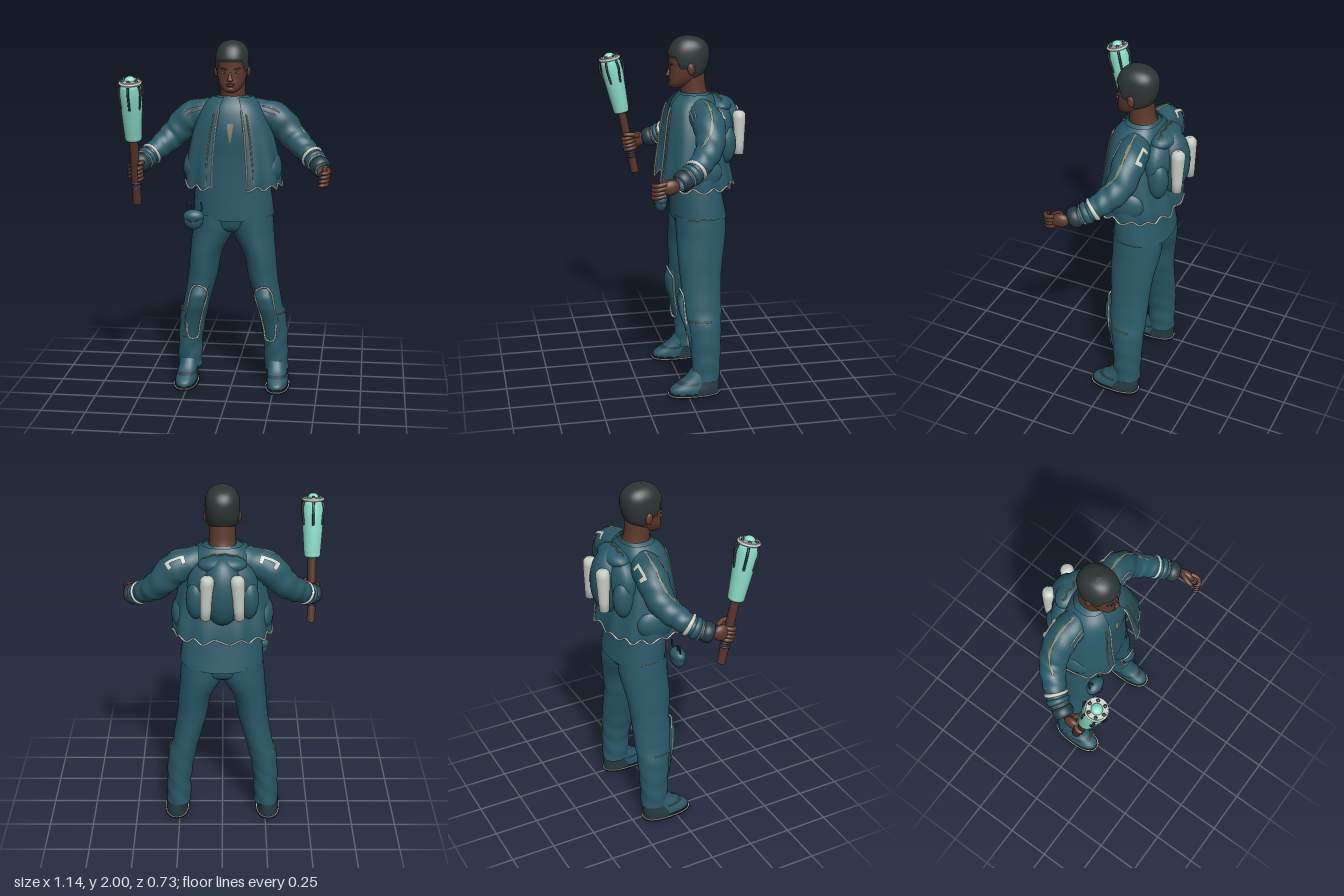
import * as THREE from 'three';
import { mergeVertices } from 'three/addons/utils/BufferGeometryUtils.js';

const TAU = Math.PI * 2;
const colour = (name, hex, side = THREE.FrontSide) => {
  const m = new THREE.MeshStandardMaterial({ color: hex, side });
  m.name = name;
  return m;
};
const V = (x, y, z) => new THREE.Vector3(x, y, z);

// Smooth interpolation of table columns over column 0
function keyed(rows) {
  const n = rows.length;
  const slope = (k, c) => {
    const a = rows[Math.max(k - 1, 0)], b = rows[Math.min(k + 1, n - 1)];
    return (b[c] - a[c]) / (b[0] - a[0]);
  };
  return (x, c) => {
    let i = 0;
    while (i < n - 2 && x > rows[i + 1][0]) i++;
    const a = rows[i], b = rows[i + 1], h = b[0] - a[0];
    const t = Math.min(Math.max((x - a[0]) / h, 0), 1), t2 = t * t, t3 = t2 * t;
    return a[c] * (2 * t3 - 3 * t2 + 1) + b[c] * (3 * t2 - 2 * t3)
      + h * (slope(i, c) * (t3 - 2 * t2 + t) + slope(i + 1, c) * (t3 - t2));
  };
}

// Upright body from rows [y, centreX, halfWidth, zFront, zBack]; angle 0 faces front
function upright(rows, p = 1) {
  const k = keyed(rows), pw = q => Math.sign(q) * Math.abs(q) ** p;
  return (y, a, off = 0) => {
    const f = k(y, 3), b = k(y, 4);
    return V(k(y, 1) + (k(y, 2) + off) * pw(Math.sin(a)), y, (f + b) / 2 + ((f - b) / 2 + off) * pw(Math.cos(a)));
  };
}

// Limb along a curve with a radius at each point; angle 0 faces the "up" vector
function limb(points, radii, up = V(0, 1, 0)) {
  const curve = new THREE.CatmullRomCurve3(points);
  const k = keyed(radii.map((r, i) => [i / (radii.length - 1), r]));
  return (v, a, off = 0) => {
    const T = curve.getTangent(v);
    const N = up.clone().addScaledVector(T, -up.dot(T)).normalize();
    const B = T.clone().cross(N), r = k(v, 1) + off;
    return curve.getPoint(v).addScaledVector(N, Math.cos(a) * r).addScaledVector(B, Math.sin(a) * r);
  };
}

export function createModel() {
  const root = new THREE.Group();
  root.name = 'explorer';
  const teal = colour('teal cloth', 0x295967, THREE.DoubleSide);
  const dark = colour('dark leather', 0x263a42, THREE.DoubleSide);
  const hairM = colour('hair', 0x2c3534, THREE.DoubleSide);
  const skin = colour('skin', 0x5e382b);
  const wood = colour('brown wood', 0x56342a);
  const mint = colour('mint glass', 0x8adcc8);
  const pale = colour('pale trim', 0xc6cbc3, THREE.DoubleSide);
  const khaki = colour('khaki trim', 0x85836a, THREE.DoubleSide);
  const black = colour('black rubber', 0x1a2124);

  const add = (name, geo, mat, pos = [0, 0, 0], scale = [1, 1, 1], rot = [0, 0, 0], parent = root) => {
    const m = new THREE.Mesh(geo, mat);
    m.name = name;
    m.position.set(...pos); m.scale.set(...scale); m.rotation.set(...rot);
    parent.add(m);
    return m;
  };
  const ball = (name, mat, pos, scale, rot, parent) => add(name, new THREE.SphereGeometry(1, 24, 16), mat, pos, scale, rot, parent);
  // Part of a surface between two heights and two angles
  const patch = (name, mat, surf, v0, v1, a0, a1, off = 0, nu = 40, nv = 28, ease = t => t) => {
    const pos = [], idx = [], val = (f, a) => (typeof f === 'function' ? f(a) : f);
    for (let j = 0; j <= nv; j++) for (let i = 0; i <= nu; i++) {
      const u = i / nu, t = ease(j / nv), a = a0 + (a1 - a0) * u;
      const lo = val(v0, a), hi = val(v1, a);
      const o = typeof off === 'function' ? off(u, t) : off;
      pos.push(...surf(lo + (hi - lo) * t, a, o).toArray());
      if (i < nu && j < nv) {
        const q = j * (nu + 1) + i, r = q + nu + 1;
        idx.push(q, q + 1, r + 1, q, r + 1, r);
      }
    }
    let g = new THREE.BufferGeometry();
    g.setAttribute('position', new THREE.Float32BufferAttribute(pos, 3));
    g.setIndex(idx);
    g = mergeVertices(g, 1e-5);
    g.computeVertexNormals();
    return add(name, g, mat);
  };
  const trim = (name, mat, pts, r = 0.005, closed = false) =>
    add(name, new THREE.TubeGeometry(new THREE.CatmullRomCurve3(pts, closed), pts.length * 5, r, 6, closed), mat);
  const along = (n, f) => Array.from({ length: n + 1 }, (_, i) => f(i / n));

  // Head and neck
  const head = upright([[1.715, 0, 0.025, 0.04, -0.02], [1.73, 0, 0.048, 0.05, -0.05], [1.76, 0, 0.068, 0.052, -0.1],
    [1.8, 0, 0.08, 0.05, -0.14], [1.85, 0, 0.085, 0.05, -0.16], [1.9, 0, 0.086, 0.05, -0.166], [1.94, 0, 0.08, 0.036, -0.158],
    [1.97, 0, 0.062, 0.014, -0.135], [1.988, 0, 0.038, -0.015, -0.1], [1.999, 0, 0.001, -0.054, -0.056]], 0.92);
  const round = t => Math.sin(t * Math.PI / 2);
  patch('head', skin, head, 1.715, 1.98, -Math.PI, Math.PI, 0, 40, 40);
  ball('chin', skin, [0, 1.735, 0.02], [0.036, 0.024, 0.034]);
  const step = THREE.MathUtils.smoothstep;
  const hairline = a => 1.882 - 0.06 * step(Math.abs(a), 0.75, 1.1) - 0.062 * step(Math.abs(a), 1.6, 2);
  patch('hair', hairM, head, hairline, 1.999, -Math.PI, Math.PI, (u, t) => 0.007 * Math.min(1, t * 8, (1 - t) * 20), 64, 36, round);
  patch('neck', skin, limb([V(0, 1.62, -0.1), V(0, 1.7, -0.085), V(0, 1.79, -0.075)], [0.082, 0.071, 0.07], V(0, 0, 1)), 0, 1, 0, TAU);
  add('noseBridge', new THREE.ConeGeometry(0.014, 0.055, 12), skin, [0, 1.812, 0.05], [1, 1, 1], [-0.2, 0, 0]);
  ball('noseTip', skin, [0, 1.787, 0.056], [0.018, 0.011, 0.014]);
  ball('upperLip', wood, [0, 1.763, 0.047], [0.026, 0.005, 0.01]);
  ball('lowerLip', wood, [0, 1.754, 0.047], [0.023, 0.006, 0.01]);
  for (const s of [1, -1]) {
    ball('ear', skin, [s * 0.09, 1.825, -0.055], [0.012, 0.033, 0.02], [0.15, 0, 0]);
    ball('eye', pale, [s * 0.034, 1.826, 0.041], [0.012, 0.004, 0.005]);
    ball('iris', black, [s * 0.034, 1.826, 0.044], [0.006, 0.005, 0.004]);
    ball('eyebrow', hairM, [s * 0.036, 1.846, 0.043], [0.02, 0.0035, 0.006], [0, s * 0.3, s * 0.2]);
  }

  // Shirt and trouser seat
  const shirt = upright([[0.98, 0.005, 0.232, 0.045, -0.27], [1.05, 0.003, 0.228, 0.045, -0.255], [1.18, 0, 0.215, 0.045, -0.23],
    [1.35, 0, 0.195, 0.05, -0.2], [1.5, 0, 0.185, 0.06, -0.2], [1.62, 0, 0.15, 0.038, -0.19], [1.665, 0, 0.115, 0.01, -0.18],
    [1.69, 0, 0.076, -0.012, -0.165]], 0.88);
  const shirtHem = a => 1.003 - 0.012 * Math.cos(2 * a);
  patch('shirt', teal, shirt, shirtHem, 1.69, -Math.PI, Math.PI);
  for (const s of [1, -1]) trim('shirtHemTrim', khaki, along(12, t => shirt(shirtHem(0.9 + t), s * (0.9 + t), 0)), 0.0025);
  patch('chestArrow', khaki, shirt, a => 1.43 + Math.abs(a) * 1.5, 1.545, -0.07, 0.07, 0.004, 10, 6);
  const seat = upright([[0.9, 0, 0.02, -0.08, -0.15], [0.92, 0, 0.08, -0.01, -0.2], [0.95, 0, 0.17, 0.02, -0.235], [1.06, 0, 0.222, 0.04, -0.25]]);
  patch('trouserSeat', teal, seat, 0.9, 1.06, -Math.PI, Math.PI);

  // Open vest with scalloped hem and stitched edges
  const vest = upright([[1.16, 0.003, 0.268, 0.125, -0.3], [1.25, 0.003, 0.268, 0.118, -0.285], [1.35, 0, 0.255, 0.104, -0.26],
    [1.48, 0, 0.225, 0.087, -0.235], [1.58, 0, 0.19, 0.07, -0.22], [1.65, 0, 0.15, 0.04, -0.2], [1.685, 0, 0.11, 0, -0.18]], 0.85);
  const open = 0.3, hem = a => 1.19 + 0.012 * Math.sin(a * 15);
  const fold = (u, t) => 0.007 * Math.sin(u * 60) * (1 - t) ** 1.5;
  const vestAngle = u => open + (TAU - 2 * open) * u;
  patch('vest', teal, vest, hem, 1.685, vestAngle(0), vestAngle(1), fold, 120, 24);
  trim('vestHemTrim', pale, along(120, u => vest(hem(vestAngle(u)), vestAngle(u), fold(u, 0) + 0.002)), 0.005);
  for (const s of [1, -1]) {
    trim('vestFrontTrim', pale, along(12, t => vest(1.19 + 0.43 * t, s * open, 0.003)));
    trim('vestStitching', khaki, along(12, t => vest(1.2 + 0.4 * t, s * (open + 0.14), 0.003)), 0.004);
    ball('sidePouch', teal, [s * 0.222, 1.28, -0.08], [0.058, 0.095, 0.12]);
  }

  // Backpack with two bottles
  ball('backpackYoke', teal, [0, 1.49, -0.21], [0.19, 0.17, 0.09]);
  ball('backpackBag', teal, [0, 1.47, -0.25], [0.11, 0.19, 0.105]);
  ball('backpackRoll', teal, [0, 1.615, -0.22], [0.13, 0.05, 0.075]);
  trim('backpackTrim', khaki, along(24, t => {
    const x = 0.2 * t - 0.1;
    return V(x, 1.618 + 0.05 * Math.sqrt(1 - (x / 0.13) ** 2), -0.218 + 0.008 * Math.sin(t * 19));
  }), 0.004);
  const bottle = [[0, 0], [0.027, 0], [0.03, 0.06], [0.038, 0.2], [0.037, 0.225], [0.025, 0.24], [0, 0.243]].map(p => new THREE.Vector2(...p));
  for (const s of [1, -1]) {
    ball('backpackSidePocket', teal, [s * 0.14, 1.42, -0.235], [0.055, 0.11, 0.06]);
    add('bottle', new THREE.LatheGeometry(bottle, 24), pale, [s * 0.09, 1.345, -0.325], [1, 1, 1], [0, 0, s * 0.05]);
  }

  for (const s of [1, -1]) {
    // Arm, sleeve stripe and cuffs; side() mirrors an angle range
    const side = (a, b) => [Math.min(a * s, b * s), Math.max(a * s, b * s)];
    const arm = limb([V(s * 0.1, 1.592, -0.1), V(s * 0.24, 1.558, -0.118), V(s * 0.34, 1.455, -0.105), V(s * 0.415, 1.39, -0.045),
      V(s * 0.47, 1.345, 0.02), V(s * 0.513, 1.31, 0.1)], [0.08, 0.087, 0.076, 0.064, 0.053, 0.043]);
    patch('sleeve', teal, arm, 0, 0.96, 0, TAU, (u, t) => 0.0025 * Math.sin(t * 45 + 3 * Math.sin(u * TAU)), 32, 60);
    patch('sleeveStripe', khaki, arm, 0.04, 0.54, -0.08, 0.08, 0.005, 4, 40);
    for (const [v0, v1, a0, a1] of [[0.13, 0.155, -0.65, -1.15], [0.21, 0.235, -0.65, -1.15], [0.13, 0.235, -0.65, -0.85]])
      patch('shoulderBuckle', pale, arm, v0, v1, ...side(a0, a1), 0.012, 8, 8);
    for (const a of [0.9, 1.2])
      trim('chestFlapTrim', pale, along(8, t => arm(0.07 + 0.13 * t, s * (a + 0.12 * t), 0.003)), 0.004);
    const ring = (name, mat, a, b, o) => patch(name, mat, arm, a, b, 0, TAU, (u, t) => o * Math.sin(t * Math.PI) ** 0.5, 32, 8);
    ring('paleBand', pale, 0.7, 0.745, 0.009);
    ring('forearmBand', teal, 0.77, 0.84, 0.01);
    ring('thinBand', pale, 0.845, 0.86, 0.007);
    ring('cuff', dark, 0.88, 1, 0.012);

    // Leg with knee pad
    const leg = upright([[0.09, s * 0.255, 0.07, -0.03, -0.19], [0.15, s * 0.253, 0.07, -0.03, -0.19], [0.25, s * 0.25, 0.07, -0.025, -0.195],
      [0.39, s * 0.234, 0.077, -0.01, -0.2], [0.49, s * 0.209, 0.076, 0.01, -0.205], [0.65, s * 0.174, 0.085, 0.02, -0.21],
      [0.78, s * 0.155, 0.092, 0.03, -0.225], [0.9, s * 0.119, 0.117, 0.032, -0.245], [0.95, s * 0.109, 0.124, 0.034, -0.247], [1.02, s * 0.106, 0.12, 0.035, -0.245]]);
    patch('trouserLeg', teal, leg, 0.09, 1.02, -Math.PI, Math.PI, (u, t) => 0.0025 * Math.sin(t * 50 + 4 * Math.sin(u * TAU)) * (1 - t) ** 2, 40, 60);
    patch('kneePad', teal, leg, 0.28, 0.6, ...side(-0.68, 0.48),
      (u, t) => 0.006 + 0.022 * Math.min(1, 8 * u * (1 - u)) * Math.min(1, t * 1.6, 6 * (1 - t)), 20, 24);
    const edge = [[0.28, -0.6], [0.35, -0.68], [0.45, -0.68], [0.56, -0.66], [0.6, -0.25], [0.61, 0.2], [0.58, 0.46], [0.48, 0.46], [0.38, 0.25], [0.28, -0.05]];
    trim('kneePadTrim', pale, edge.map(([y, a]) => leg(y, a * s, 0.012)), 0.0055, true);
    trim('kneeStrap', khaki, along(12, t => leg(0.44, s * (0.4 + 1.5 * t), 0.004)), 0.004);

    // Shoe on a layered sole with a pale welt
    const shoe = upright([[0.012, s * 0.267, 0.059, 0.1, -0.178], [0.04, s * 0.267, 0.06, 0.096, -0.18], [0.07, s * 0.264, 0.057, 0.055, -0.18],
      [0.1, s * 0.26, 0.056, 0.01, -0.178], [0.15, s * 0.255, 0.05, -0.03, -0.17]], 0.82);
    patch('shoeUpper', teal, shoe, 0.012, 0.15, -Math.PI, Math.PI);
    patch('shoeHeel', dark, shoe, 0.012, 0.11, 1.6, TAU - 1.6, 0.004);
    patch('shoeStrap', dark, shoe, 0.07, 0.085, -1.5, 1.5, 0.004, 30, 4);
    for (const [name, mat, y, h, grow] of [['outsole', black, 0, 0.006, 0.012], ['welt', pale, 0.006, 0.003, 0.009], ['midsole', black, 0.009, 0.01, 0.004]]) {
      const outline = new THREE.Shape(along(47, t => shoe(0.012, t * TAU * 47 / 48, grow)).map(p => new THREE.Vector2(p.x, -p.z)));
      add(name, new THREE.ExtrudeGeometry(outline, { depth: h, bevelEnabled: false }), mat, [0, y, 0], [1, 1, 1], [-Math.PI / 2, 0, 0]);
    }
  }

  // Free left hand with curled fingers
  ball('leftPalm', skin, [0.533, 1.3, 0.145], [0.027, 0.04, 0.05], [0.25, 0.1, 0]);
  for (let i = 0; i < 4; i++) {
    const y = 1.325 - i * 0.022, x = 0.546 - i * 0.003;
    patch('leftFinger', skin, limb([V(x, y, 0.17), V(x + 0.005, y - 0.008, 0.212), V(x - 0.025, y - 0.014, 0.235), V(x - 0.045, y - 0.014, 0.215)],
      [0.012, 0.012, 0.011, 0.002]), 0, 1, 0, TAU, 0, 12, 16);
  }
  patch('leftThumb', skin, limb([V(0.52, 1.325, 0.13), V(0.503, 1.32, 0.165), V(0.5, 1.305, 0.2), V(0.502, 1.3, 0.213)], [0.014, 0.014, 0.011, 0.002]), 0, 1, 0, TAU, 0, 12, 16);

  // Torch held in the right hand
  const torch = new THREE.Group();
  torch.name = 'torch';
  torch.position.set(-0.505, 1.11, 0.16);
  torch.rotation.x = 0.205;
  root.add(torch);
  const one = [1, 1, 1], flat = [Math.PI / 2, 0, 0];
  add('torchHandle', new THREE.CylinderGeometry(0.024, 0.024, 0.39, 20), wood, [0, 0.195, 0], one, [0, 0, 0], torch);
  const glass = [[0, 0.375], [0.042, 0.375], [0.046, 0.385], [0.054, 0.5], [0.061, 0.61], [0.058, 0.67], [0.05, 0.695], [0, 0.697]];
  add('torchGlass', new THREE.LatheGeometry(glass.map(p => new THREE.Vector2(...p)), 32), mint, [0, 0, 0], one, [0, 0, 0], torch);
  add('torchCap', new THREE.CylinderGeometry(0.054, 0.058, 0.02, 32), pale, [0, 0.702, 0], one, [0, 0, 0], torch);
  add('torchRing', new THREE.TorusGeometry(0.056, 0.007, 10, 32), pale, [0, 0.7, 0], one, flat, torch);
  ball('torchDome', mint, [0, 0.712, 0], [0.03, 0.022, 0.03], [0, 0, 0], torch);
  const prong = new THREE.TubeGeometry(new THREE.CatmullRomCurve3([V(0.056, 0.56, 0), V(0.064, 0.61, 0), V(0.07, 0.65, 0), V(0.06, 0.69, 0)]), 20, 0.0065, 8);
  for (let i = 0; i < 6; i++) {
    const a = i * TAU / 6 + 0.5;
    add('torchProng', prong, dark, [0, 0, 0], one, [0, a, 0], torch);
    ball('prongKnob', dark, [Math.cos(a) * 0.044, 0.714, -Math.sin(a) * 0.044], [0.009, 0.008, 0.009], [0, 0, 0], torch);
  }
  for (const y of [0.1, 0.125]) add('handleWrap', new THREE.TorusGeometry(0.024, 0.006, 8, 24), dark, [0, y, 0], one, flat, torch);
  for (let i = 0; i < 4; i++)
    add('rightFinger', new THREE.TorusGeometry(0.033, 0.0125, 10, 24, 4.8), skin, [0, 0.15 + i * 0.022, 0], one, [Math.PI / 2, 0, 2.6], torch);
  ball('rightPalm', skin, [-0.517, 1.305, 0.148], [0.027, 0.046, 0.05], [0.25, 0, 0]);
  patch('rightThumb', skin, limb([V(-0.49, 1.33, 0.14), V(-0.468, 1.345, 0.18), V(-0.47, 1.345, 0.22), V(-0.487, 1.343, 0.238)], [0.015, 0.014, 0.012, 0.002]), 0, 1, 0, TAU, 0, 12, 16);

  // Hip pouch
  ball('hipPouch', teal, [-0.205, 1.0, 0.062], [0.055, 0.055, 0.036]);
  ball('hipPouchFlap', teal, [-0.205, 1.022, 0.062], [0.06, 0.038, 0.04]);
  trim('hipPouchSeam', dark, along(10, t => V(-0.262 + 0.114 * t, 1.02 - 0.022 * Math.sin(t * Math.PI), 0.064 + 0.041 * Math.sin(t * Math.PI))), 0.003);
  ball('hipPouchButton', pale, [-0.205, 0.995, 0.103], [0.006, 0.006, 0.004]);
  trim('hipPouchLoop', dark, [V(-0.245, 1.03, 0.06), V(-0.24, 1.1, 0.05), V(-0.225, 1.09, 0.05), V(-0.222, 1.04, 0.06)], 0.005);
  trim('hipPouchHook', dark, [V(-0.165, 1.03, 0.06), V(-0.16, 1.07, 0.05), V(-0.165, 1.1, 0.045)], 0.005);
  return root;
}
